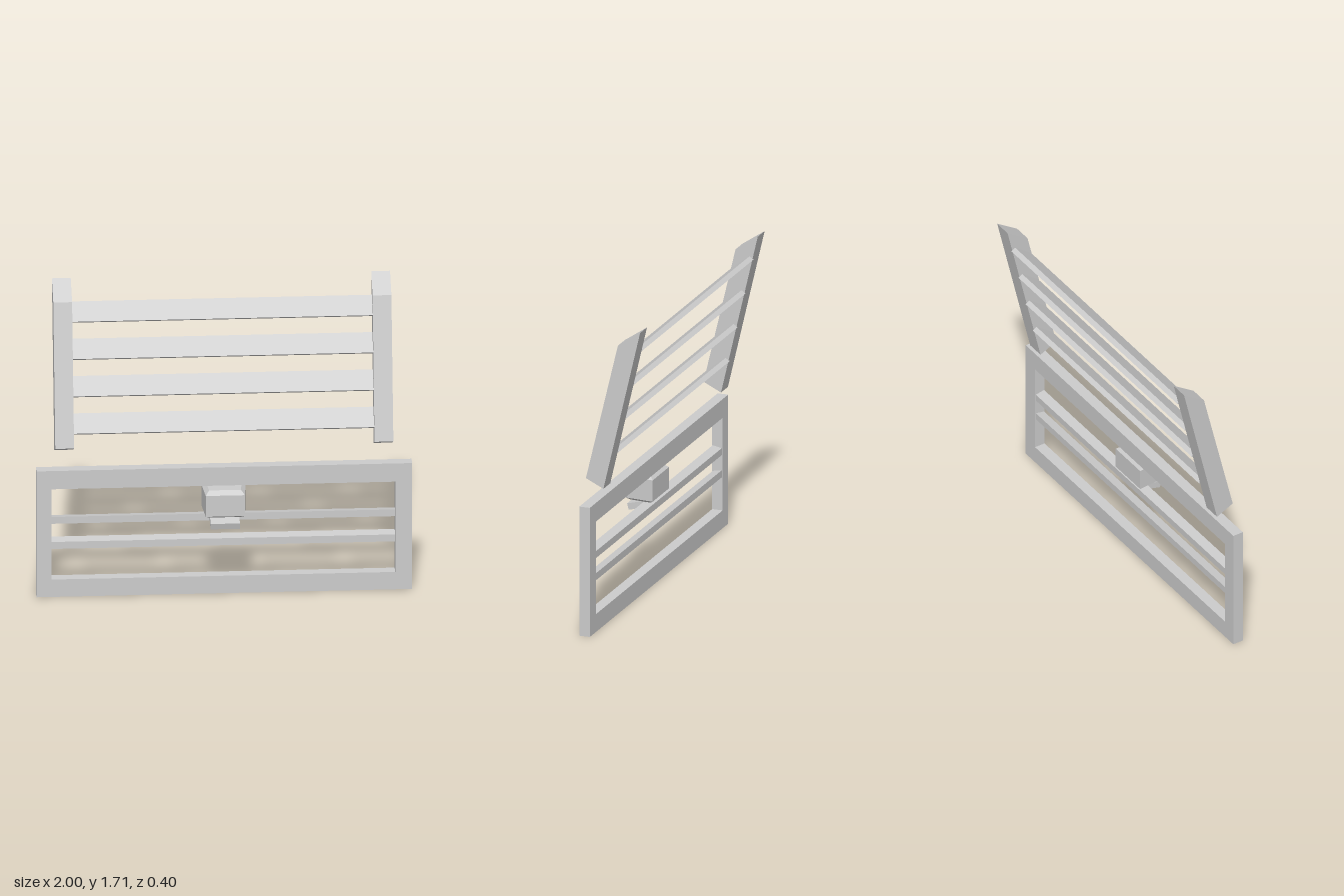
import * as THREE from 'three';

const material = new THREE.MeshStandardMaterial({ color: 0xcccccc, flatShading: true });

function addMesh(group, name, geometry) {
  const mesh = new THREE.Mesh(geometry, material);
  mesh.name = name;
  group.add(mesh);
  return mesh;
}

// Extrude a [z, y] side profile along x from x0 to x1
function prism(profile, x0, x1) {
  const shape = new THREE.Shape(profile.map(([z, y]) => new THREE.Vector2(-z, y)));
  const geometry = new THREE.ExtrudeGeometry(shape, { depth: x1 - x0, bevelEnabled: false });
  return geometry.rotateY(Math.PI / 2).translate(x0, 0, 0);
}

// Closed solid from four-cornered level sections, bottom to top
function loft(sections) {
  const positions = [];
  const index = [];
  for (const { y, back, front, backX, frontX } of sections) {
    positions.push(-frontX, y, front, frontX, y, front, backX, y, back, -backX, y, back);
  }
  for (let s = 0; s < sections.length - 1; s++) {
    for (let i = 0; i < 4; i++) {
      const a = s * 4 + i;
      const b = s * 4 + (i + 1) % 4;
      index.push(a, b, b + 4, a, b + 4, a + 4);
    }
  }
  const t = (sections.length - 1) * 4;
  index.push(0, 2, 1, 0, 3, 2, t, t + 1, t + 2, t, t + 2, t + 3);
  const geometry = new THREE.BufferGeometry();
  geometry.setAttribute('position', new THREE.Float32BufferAttribute(positions, 3));
  geometry.setIndex(index);
  const flat = geometry.toNonIndexed();
  flat.computeVertexNormals();
  return flat;
}

export function createModel() {
  const model = new THREE.Group();
  model.name = 'slattedRackAndFrame';

  // Leaning upper rack: two side posts
  const rack = new THREE.Group();
  rack.name = 'upperRack';
  model.add(rack);
  const post = [[0.11, 0.853], [0.01, 0.805], [-0.2, 1.707], [-0.073, 1.62]];
  addMesh(rack, 'leftPost', prism(post, 0.8, 0.9));
  addMesh(rack, 'rightPost', prism(post, -0.9, -0.8));

  // Four sloping slats, each set further back than the one below
  for (let i = 0; i < 4; i++) {
    const dy = i * 0.196;
    const dz = i * -0.0455;
    const slat = [[0.084, 0.927], [-0.016, 1.003], [-0.04, 0.988], [0.06, 0.912]];
    addMesh(rack, 'slat', prism(slat.map(([z, y]) => [z + dz, y + dy]), -0.8, 0.8));
  }

  // Lower rectangular frame
  const lower = new THREE.Group();
  lower.name = 'lowerFrame';
  model.add(lower);
  const outline = new THREE.Shape([
    new THREE.Vector2(-1, 0), new THREE.Vector2(1, 0),
    new THREE.Vector2(1, 0.725), new THREE.Vector2(-1, 0.725),
  ]);
  outline.holes.push(new THREE.Path([
    new THREE.Vector2(-0.92, 0.1), new THREE.Vector2(-0.92, 0.62),
    new THREE.Vector2(0.91, 0.62), new THREE.Vector2(0.91, 0.1),
  ]));
  addMesh(lower, 'frame',
    new THREE.ExtrudeGeometry(outline, { depth: 0.06, bevelEnabled: false }).translate(0, 0, 0.048));

  // Crossbars, tilted in opposite directions
  addMesh(lower, 'upperCrossbar',
    prism([[0.105, 0.42], [0.105, 0.459], [0.053, 0.449], [0.053, 0.41]], -0.925, 0.915));
  addMesh(lower, 'lowerCrossbar',
    prism([[0.105, 0.275], [0.105, 0.315], [0.053, 0.325], [0.053, 0.285]], -0.925, 0.915));

  // Central housing with bevelled top and bottom
  const unit = new THREE.Group();
  unit.name = 'centralUnit';
  model.add(unit);
  addMesh(unit, 'housing', loft([
    { y: 0.465, back: 0.06, front: 0.175, backX: 0.095, frontX: 0.085 },
    { y: 0.48, back: 0.038, front: 0.2, backX: 0.118, frontX: 0.104 },
    { y: 0.6, back: 0.038, front: 0.2, backX: 0.118, frontX: 0.104 },
    { y: 0.62, back: 0.06, front: 0.172, backX: 0.095, frontX: 0.085 },
  ]));

  // Tilted tongue below the housing
  addMesh(unit, 'tongue',
    prism([[0.2, 0.438], [0.19, 0.403], [0.09, 0.43], [0.09, 0.467]], -0.078, 0.078));

  return model;
}
